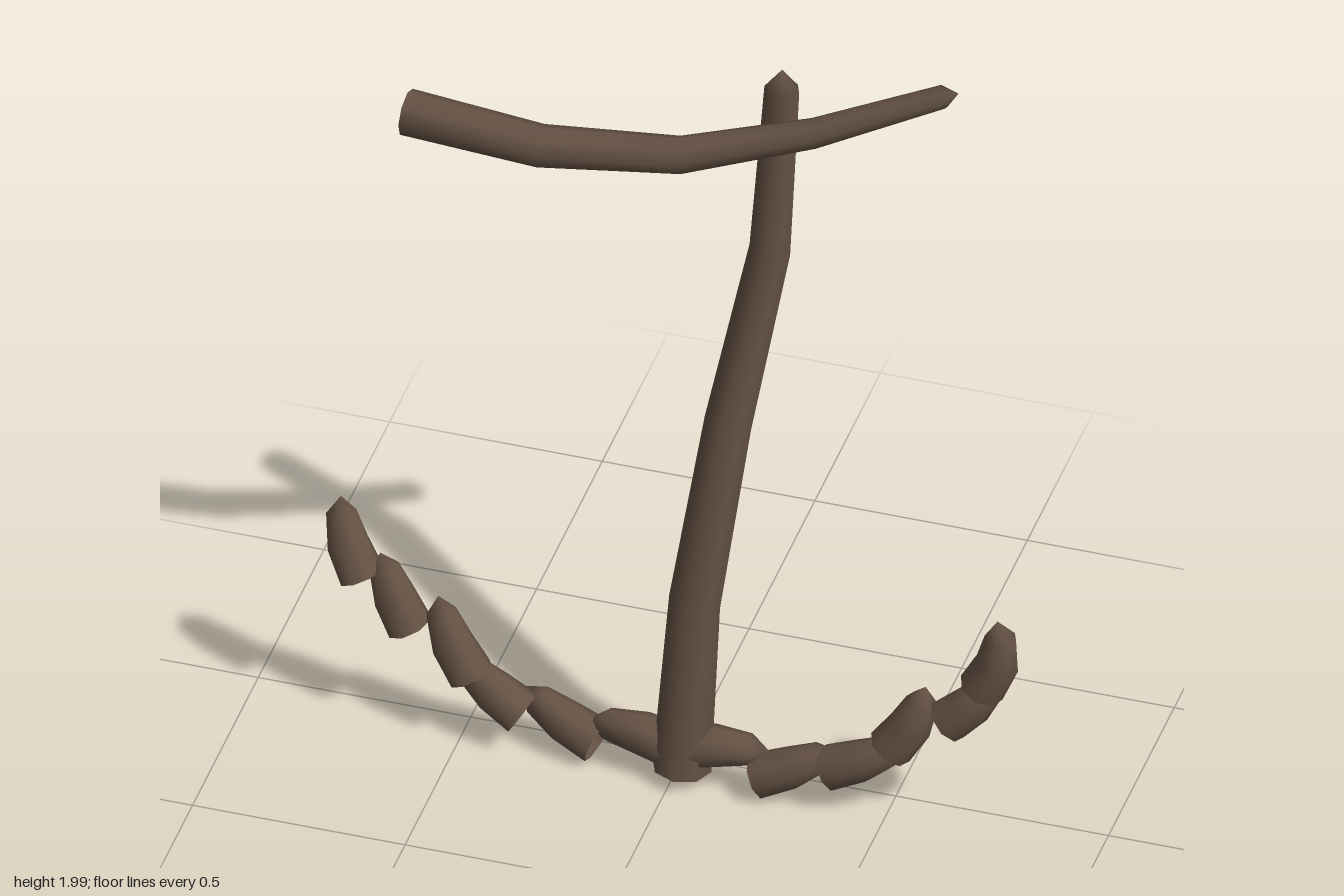
import * as THREE from 'three';

const SIDES = 8;
const bark = new THREE.MeshStandardMaterial({ color: 0x655244, side: THREE.DoubleSide });
bark.name = 'brown bark';

// Tapered branch: rows of [x, y, z, radius], open at the first row, pointed at the last.
function branch(name, rows) {
  const pts = rows.map(([x, y, z]) => new THREE.Vector3(x, y, z));
  const zAxis = new THREE.Vector3(0, 0, 1);
  const position = [], index = [];
  const last = rows.length - 1;
  for (let j = 0; j < last; j++) {
    const t = pts[j + 1].clone().sub(pts[j]).normalize();
    if (j > 0) t.add(pts[j].clone().sub(pts[j - 1]).normalize()).normalize();
    const u = t.clone().cross(zAxis).normalize();
    const v = t.clone().cross(u);
    for (let i = 0; i < SIDES; i++) {
      const a = (i / SIDES) * Math.PI * 2, r = rows[j][3];
      const p = pts[j].clone().addScaledVector(u, Math.cos(a) * r).addScaledVector(v, Math.sin(a) * r);
      position.push(p.x, p.y, p.z);
    }
  }
  position.push(...pts[last].toArray());
  for (let j = 0; j < last; j++) {
    for (let i = 0; i < SIDES; i++) {
      const a = j * SIDES + i, b = j * SIDES + (i + 1) % SIDES;
      if (j === last - 1) index.push(a, b, last * SIDES);
      else index.push(a, b, b + SIDES, a, b + SIDES, a + SIDES);
    }
  }
  const geo = new THREE.BufferGeometry();
  geo.setAttribute('position', new THREE.Float32BufferAttribute(position, 3));
  geo.setIndex(index);
  geo.computeVertexNormals();
  const mesh = new THREE.Mesh(geo, bark);
  mesh.name = name;
  return mesh;
}

// Short curved horn from base to tip, bowed sideways in the front plane.
function horn(name, [bx, by, bz], [tx, ty, tz], bow) {
  const len = Math.hypot(tx - bx, ty - by);
  const nx = -(ty - by) / len, ny = (tx - bx) / len;
  const at = (f, off, r) => [
    bx + (tx - bx) * f + nx * off, by + (ty - by) * f + ny * off, bz + (tz - bz) * f, r];
  return branch(name, [
    at(0, 0, 0.054), at(0.42, bow, 0.05), at(0.78, bow * 0.7, 0.037), at(1, 0, 0)]);
}

export function createModel() {
  const model = new THREE.Group();
  model.name = 'anchor';

  // Upright shank
  model.add(branch('shank', [
    [0.02, 0.045, 0.075, 0.069], [0.045, 0.5, 0.06, 0.06], [0.1, 0.96, -0.015, 0.055],
    [0.175, 1.41, -0.092, 0.048], [0.205, 1.87, -0.086, 0.041], [0.207, 1.93, -0.083, 0]]));

  // Crossbar near the top
  model.add(branch('crossbar', [
    [-0.63, 1.735, 0.07, 0.054], [-0.31, 1.72, 0.083, 0.05], [0.01, 1.745, 0.055, 0.044],
    [0.31, 1.84, 0.01, 0.036], [0.6, 1.975, -0.035, 0.028], [0.635, 1.988, -0.04, 0]]));

  // Curved arms: nested horns from the centre outwards
  const arms = new THREE.Group();
  arms.name = 'arms';
  const rightArm = [
    [[0.02, 0.09, 0.075], [-0.21, 0.11, 0.06], -0.012],
    [[-0.18, 0.065, 0.07], [-0.37, 0.15, 0.03], 0.008],
    [[-0.355, 0.11, 0.075], [-0.51, 0.225, 0.06], 0.008],
    [[-0.475, 0.195, 0.08], [-0.555, 0.39, 0.07], 0.014],
    [[-0.62, 0.3, 0.08], [-0.69, 0.485, 0.075], 0.008],
    [[-0.73, 0.42, 0.085], [-0.79, 0.605, 0.05], 0.014]];
  const leftArm = [
    [[0, 0.1, 0.08], [0.23, 0.12, 0.07], 0.01],
    [[0.2, 0.06, 0.08], [0.38, 0.165, 0.07], -0.008],
    [[0.365, 0.115, 0.075], [0.545, 0.225, 0.08], -0.008],
    [[0.51, 0.205, 0.075], [0.59, 0.385, 0.065], -0.014],
    [[0.645, 0.31, 0.075], [0.76, 0.45, 0.07], -0.008],
    [[0.725, 0.42, 0.075], [0.765, 0.622, 0.085], -0.022]];
  rightArm.forEach((h, i) => arms.add(horn('rightArmHorn' + (i + 1), ...h)));
  leftArm.forEach((h, i) => arms.add(horn('leftArmHorn' + (i + 1), ...h)));
  model.add(arms);

  return model;
}
